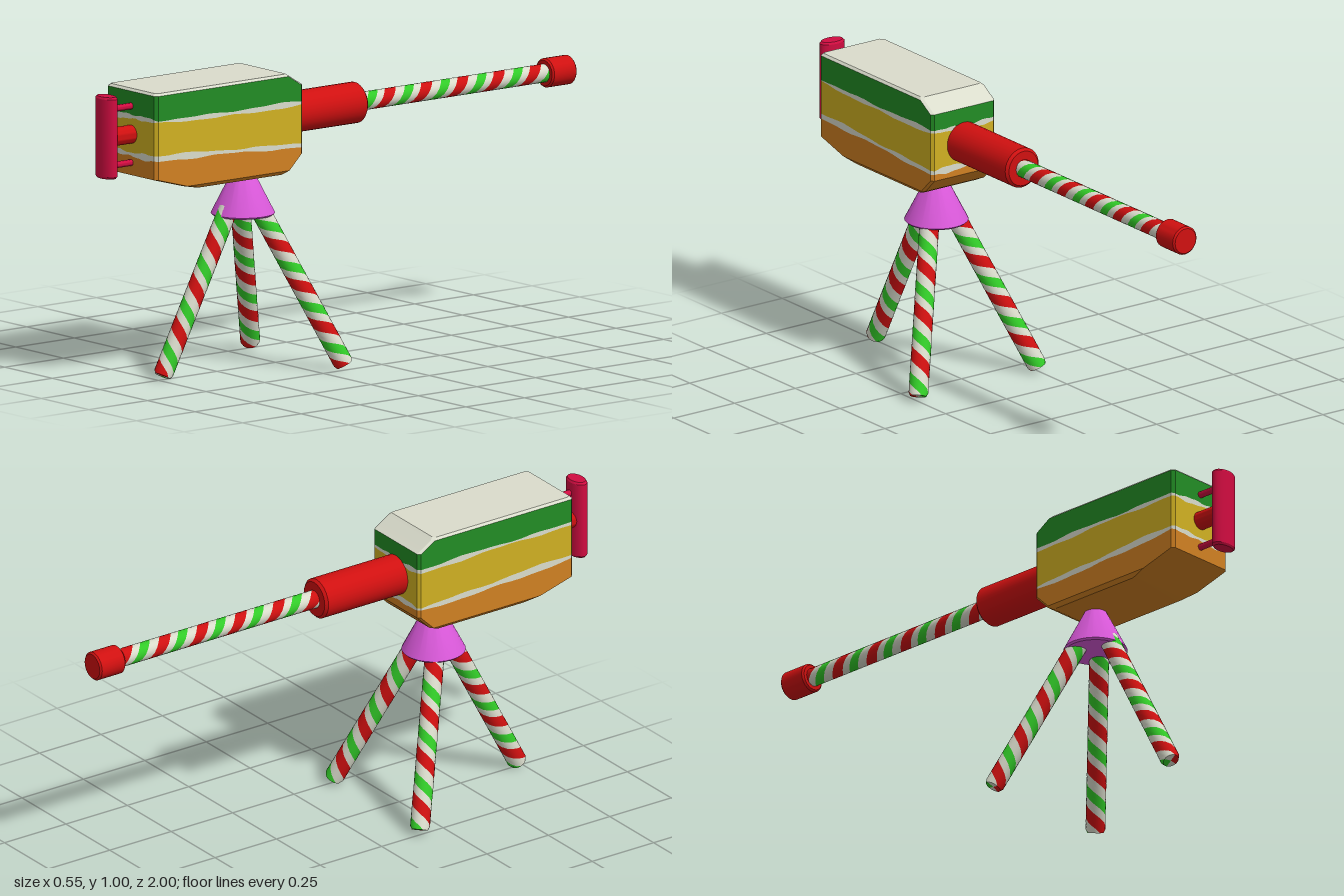
import * as THREE from 'three';
import { toCreasedNormals } from 'three/addons/utils/BufferGeometryUtils.js';

function paint(name, color) {
  const m = new THREE.MeshStandardMaterial({ color });
  m.name = name;
  return m;
}

export function createModel() {
  const white = paint('cream white', 0xdadccc);
  const red = paint('candy red', 0xd01010);
  const lime = paint('candy green', 0x32cc28);
  const green = paint('leaf green', 0x228c24);
  const yellow = paint('mustard yellow', 0xd0b022);
  const orange = paint('orange', 0xd08022);
  const crimson = paint('crimson', 0xd00c40);
  const orchid = paint('orchid', 0xd858d8);

  const model = new THREE.Group();
  model.name = 'candyTurret';
  const add = (name, geometry, material) => {
    const mesh = new THREE.Mesh(geometry, material);
    mesh.name = name;
    model.add(mesh);
    return mesh;
  };

  // Upright solid of revolution with bevelled rims, centred on its own origin
  function bevelled(rBottom, rTop, length, bevel) {
    const h = length / 2;
    const points = [
      [0, -h], [rBottom - bevel, -h], [rBottom, -h + bevel],
      [rTop, h - bevel], [rTop - bevel, h], [0, h],
    ].map(([x, y]) => new THREE.Vector2(x, y));
    return toCreasedNormals(new THREE.LatheGeometry(points, 28), 0.6);
  }

  // Cylinder twisted along its length so that its columns become helical stripes
  function candyCane(name, from, to, radius) {
    const sides = 20, pitch = 0.155;
    const axis = new THREE.Vector3().subVectors(from, to);
    const length = axis.length();
    const rows = Math.ceil(length / 0.012);
    const geo = new THREE.CylinderGeometry(radius, radius, length, sides, rows);
    const pos = geo.attributes.position, nor = geo.attributes.normal;
    const up = new THREE.Vector3(0, 1, 0), v = new THREE.Vector3();
    for (let i = 0; i < pos.count; i++) {
      const y = pos.getY(i);
      const angle = -y / pitch * Math.PI * 2;
      v.fromBufferAttribute(pos, i).applyAxisAngle(up, angle);
      if (Math.abs(y) > length / 2 - 1e-4) { v.x *= 0.82; v.z *= 0.82; }
      pos.setXYZ(i, v.x, v.y, v.z);
      v.fromBufferAttribute(nor, i).applyAxisAngle(up, angle);
      nor.setXYZ(i, v.x, v.y, v.z);
    }
    // Red, white, green, white around the wall and both caps
    const stripe = (i) => (i < 6 ? 0 : i < 10 ? 1 : i < 15 ? 2 : 1);
    geo.clearGroups();
    const wall = rows * 6;
    for (let i = 0; i < sides; i++) {
      geo.addGroup(i * wall, wall, stripe(i));
      geo.addGroup(sides * wall + i * 3, 3, stripe(i));
      geo.addGroup(sides * wall + (sides + i) * 3, 3, stripe(i));
    }
    const mesh = add(name, geo, [red, white, lime]);
    mesh.position.addVectors(from, to).multiplyScalar(0.5);
    mesh.quaternion.setFromUnitVectors(up, axis.normalize());
  }

  // Body: stacked loops, with wavy boundaries between the colour bands
  function bodyGeometry() {
    const lerp = THREE.MathUtils.mapLinear;
    const zFront = (y) => (y < 0.715 ? lerp(y, 0.667, 0.715, 0.695, 0.867) : 0.867);
    const zBack = (y) => {
      if (y < 0.73) return lerp(y, 0.667, 0.73, 0.3, 0.236);
      return y > 0.963 ? lerp(Math.min(y, 1), 0.963, 1, 0.236, 0.295) : 0.236;
    };
    const N = 16, M = N * 4, corner = 0.01;
    const wave = (i, seed) => {
      const u = i / M * Math.PI * 2;
      return 0.003 * Math.sin(3 * u + seed) + 0.0025 * Math.sin(8 * u + seed * 2)
        + 0.0015 * Math.sin(17 * u + seed * 3);
    };
    // height, inset, wave seed, slope towards the back, material of the band above
    const levels = [
      [0.667, 0.012, 0, 0, 3], [0.68, 0, 0, 0, 3], [0.715, 0, 0, 0, 3], [0.73, 0, 0, 0, 3],
      [0.768, 0, 1, 0.025, 0], [0.785, 0, 2.6, 0.025, 2], [0.9, 0, 4, 0.012, 0],
      [0.913, 0, 5.2, 0.012, 1], [0.963, 0, 0, 0, 1], [0.998, 0, 0, 0, 0], [1.006, 0.008, 0, 0, 0],
    ];
    const loops = levels.map(([base, inset, seed, slope]) => {
      const loop = [];
      for (let i = 0; i < M; i++) {
        const side = Math.floor(i / N), t = (i % N) / (N - 1);
        const along = [1, 1 - t, 0, t][side];
        const y = base + (seed ? wave(i, seed) + (along - 0.6) * slope : 0);
        const hx = 0.131 - inset, zf = zFront(y) - inset, zb = zBack(y) + inset;
        const x = (hx - corner) * (2 * t - 1);
        const z = THREE.MathUtils.lerp(zf - corner, zb + corner, t);
        const zLeft = zf + zb - z;
        loop.push([[x, y, zf], [hx, y, z], [-x, y, zb], [-hx, y, zLeft]][side]);
      }
      return loop;
    });
    const buckets = [[], [], [], []];
    for (let k = 0; k < levels.length - 1; k++) {
      for (let i = 0; i < M; i++) {
        const j = (i + 1) % M;
        const [a, b, c, d] = [loops[k][i], loops[k][j], loops[k + 1][i], loops[k + 1][j]];
        const backSlope = k === 8 && i >= N * 2 - 1 && i < N * 3;
        buckets[backSlope ? 0 : levels[k][4]].push(...a, ...b, ...d, ...a, ...d, ...c);
      }
    }
    const bottom = loops[0], top = loops[loops.length - 1];
    for (let i = 1; i < M - 1; i++) {
      buckets[3].push(...bottom[0], ...bottom[i + 1], ...bottom[i]);
      buckets[0].push(...top[0], ...top[i], ...top[i + 1]);
    }
    const geo = new THREE.BufferGeometry();
    geo.setAttribute('position', new THREE.Float32BufferAttribute(buckets.flat(), 3));
    let start = 0;
    buckets.forEach((bucket, m) => {
      geo.addGroup(start, bucket.length / 3, m);
      start += bucket.length / 3;
    });
    return toCreasedNormals(geo, 0.4);
  }
  add('body', bodyGeometry(), [white, green, yellow, orange]);

  // Barrel, its jacket and the muzzle, pointing backwards
  const axisY = 0.844;
  const lyingRod = (name, radius, z0, z1, y, bevel, material) => {
    const mesh = add(name, bevelled(radius, radius, Math.abs(z1 - z0), bevel), material);
    mesh.rotation.x = Math.PI / 2;
    mesh.position.set(0, y, (z0 + z1) / 2);
  };
  lyingRod('barrelJacket', 0.069, 0.245, -0.096, axisY, 0.009, red);
  candyCane('barrel', new THREE.Vector3(0, axisY, -0.08), new THREE.Vector3(0, axisY, -0.91), 0.031);
  lyingRod('muzzle', 0.049, -0.895, -1, axisY, 0.006, red);

  // Grip held by three rods
  const grip = add('grip', bevelled(0.047, 0.047, 0.276, 0.007), crimson);
  grip.scale.z = 0.6;
  grip.position.set(0, 0.857, 0.972);
  lyingRod('gripRodMiddle', 0.031, 0.86, 0.965, 0.853, 0.003, red);
  for (const [name, y] of [['gripRodTop', 0.948], ['gripRodBottom', 0.757]]) {
    lyingRod(name, 0.011, 0.86, 0.965, y, 0.002, crimson);
  }

  // Cone mount
  const mount = add('mount', bevelled(0.107, 0.034, 0.155, 0.006), orchid);
  mount.position.set(0, 0.6025, 0.39);

  // Tripod: one leg in front, a mirrored pair behind
  candyCane('frontLeg', new THREE.Vector3(0, 0.56, 0.447), new THREE.Vector3(0, 0.02, 0.733), 0.033);
  for (const [name, s] of [['leftLeg', 1], ['rightLeg', -1]]) {
    candyCane(name, new THREE.Vector3(s * 0.045, 0.56, 0.365), new THREE.Vector3(s * 0.247, 0.024, 0.157), 0.033);
  }

  return model;
}
